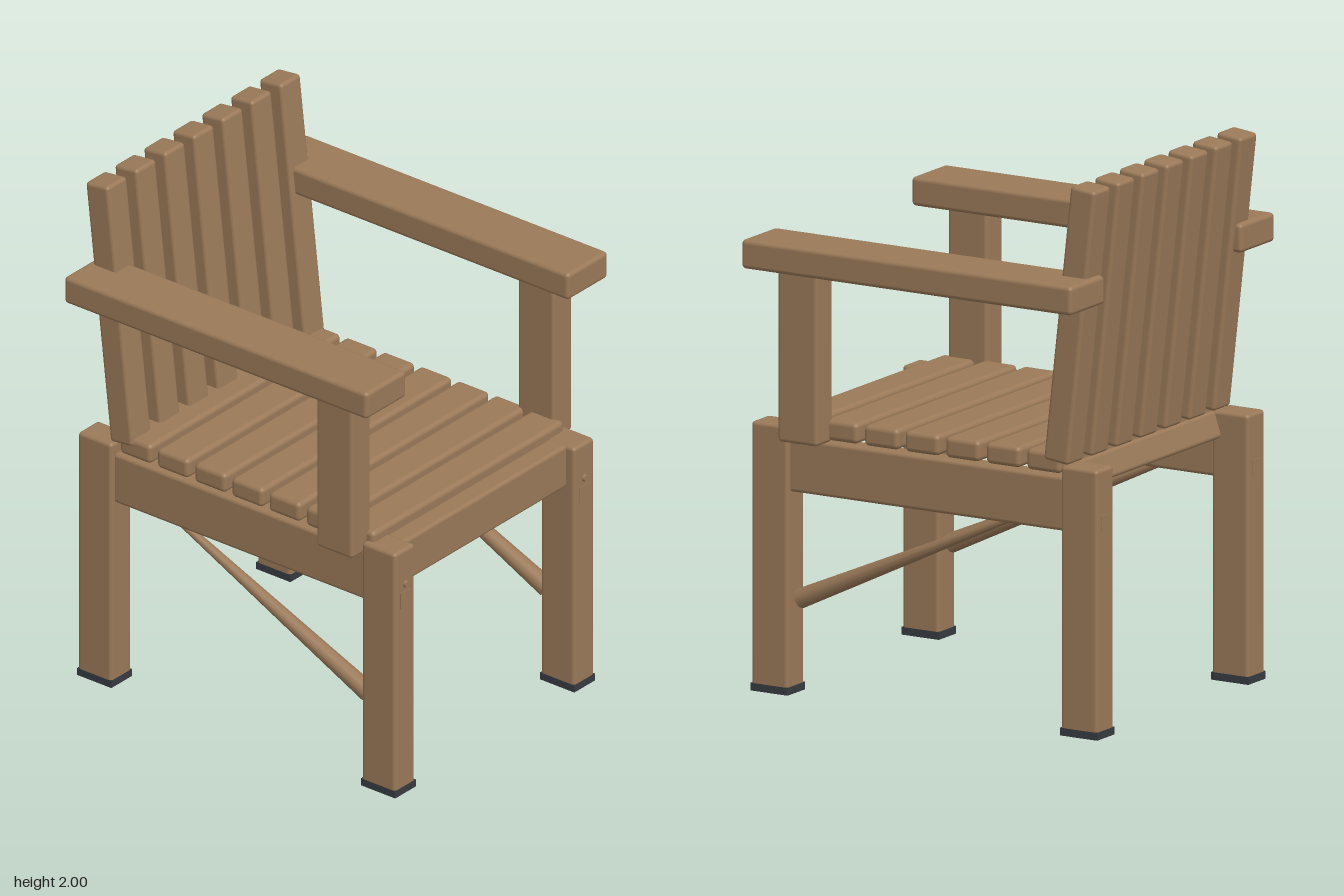
import * as THREE from 'three';
import { RoundedBoxGeometry } from 'three/addons/geometries/RoundedBoxGeometry.js';

export function createModel() {
  const chair = new THREE.Group();
  chair.name = 'gardenChair';

  const wood = new THREE.MeshStandardMaterial({ color: 0x9a7958 });
  wood.name = 'brownWood';
  const rubber = new THREE.MeshStandardMaterial({ color: 0x373b40 });
  rubber.name = 'darkRubber';

  const add = (name, geometry, material, x = 0, y = 0, z = 0) => {
    const mesh = new THREE.Mesh(geometry, material);
    mesh.name = name;
    mesh.position.set(x, y, z);
    chair.add(mesh);
    return mesh;
  };

  // Softly rounded timber, given by its limits on each axis
  const board = (name, [x0, x1], [y0, y1], [z0, z1], radius = 0.014) =>
    add(name, new RoundedBoxGeometry(x1 - x0, y1 - y0, z1 - z0, 3, radius), wood,
      (x0 + x1) / 2, (y0 + y1) / 2, (z0 + z1) / 2);

  const span = (side, a, b) => (side > 0 ? [a, b] : [-b, -a]);

  // Hollow foot cap: a rectangular frame lying flat
  const rect = (path, w, d) => {
    path.moveTo(-w, -d);
    path.lineTo(w, -d);
    path.lineTo(w, d);
    path.lineTo(-w, d);
    path.closePath();
    return path;
  };
  const footShape = rect(new THREE.Shape(), 0.058, 0.078);
  footShape.holes.push(rect(new THREE.Path(), 0.03, 0.045));
  const footGeometry = new THREE.ExtrudeGeometry(footShape, { depth: 0.028, bevelEnabled: false });
  footGeometry.rotateX(-Math.PI / 2);

  for (const side of [1, -1]) {
    const label = side > 0 ? 'left' : 'right';

    // Legs with foot caps and a small face plate
    for (const end of [1, -1]) {
      const place = label + (end > 0 ? 'Front' : 'Back');
      board(place + 'Leg', span(side, 0.446, 0.56), [0.01, 0.98], span(end, 0.57, 0.723));
      add(place + 'Foot', footGeometry, rubber, side * 0.503, 0, end * 0.6465);
      add(place + 'Plate', new THREE.BoxGeometry(0.056, 0.06, 0.004), wood,
        side * 0.503, 0.782, end * 0.7235);
    }

    // Bolt head on the front leg
    const bolt = add(label + 'Bolt', new THREE.CylinderGeometry(0.012, 0.014, 0.014, 12), wood,
      side * 0.503, 0.842, 0.727);
    bolt.rotation.x = Math.PI / 2;

    // Side rail, armrest post and armrest
    board(label + 'SideRail', span(side, 0.455, 0.54), [0.737, 0.935], [-0.58, 0.58]);
    board(label + 'ArmPost', span(side, 0.512, 0.62), [0.935, 1.565], [0.41, 0.575]);
    board(label + 'Armrest', span(side, 0.453, 0.68), [1.562, 1.668], [-0.69, 0.69], 0.016);

    // Tapered diagonal brace from front leg up to the side rail
    const low = new THREE.Vector3(side * 0.5, 0.343, 0.555);
    const high = new THREE.Vector3(side * 0.5, 0.75, -0.33);
    const brace = add(label + 'Brace',
      new THREE.CylinderGeometry(0.013, 0.036, low.distanceTo(high), 10), wood);
    brace.position.copy(low).lerp(high, 0.5);
    brace.quaternion.setFromUnitVectors(new THREE.Vector3(0, 1, 0), high.clone().sub(low).normalize());
  }

  // Front rail, and back rail tilted to carry the backrest
  board('frontRail', [-0.46, 0.46], [0.812, 0.98], [0.6, 0.685]);
  const backRail = board('backRail', [-0.46, 0.46], [0.861, 0.961], [-0.6, -0.46]);
  backRail.rotation.x = 0.32;

  // Seat slats
  for (let i = 0; i < 7; i++) {
    const z = 0.535 - i * 0.1695;
    board('seatSlat' + (i + 1), [-0.537, 0.537], [0.942, 1.018], [z - 0.0715, z + 0.0715], 0.018);
  }

  // Leaning backrest slats
  for (let i = 0; i < 7; i++) {
    const x = (i - 3) * 0.1625;
    const slat = board('backSlat' + (i + 1), [x - 0.056, x + 0.056], [0.981, 1.996], [-0.647, -0.543]);
    slat.rotation.x = -0.112;
  }

  return chair;
}
